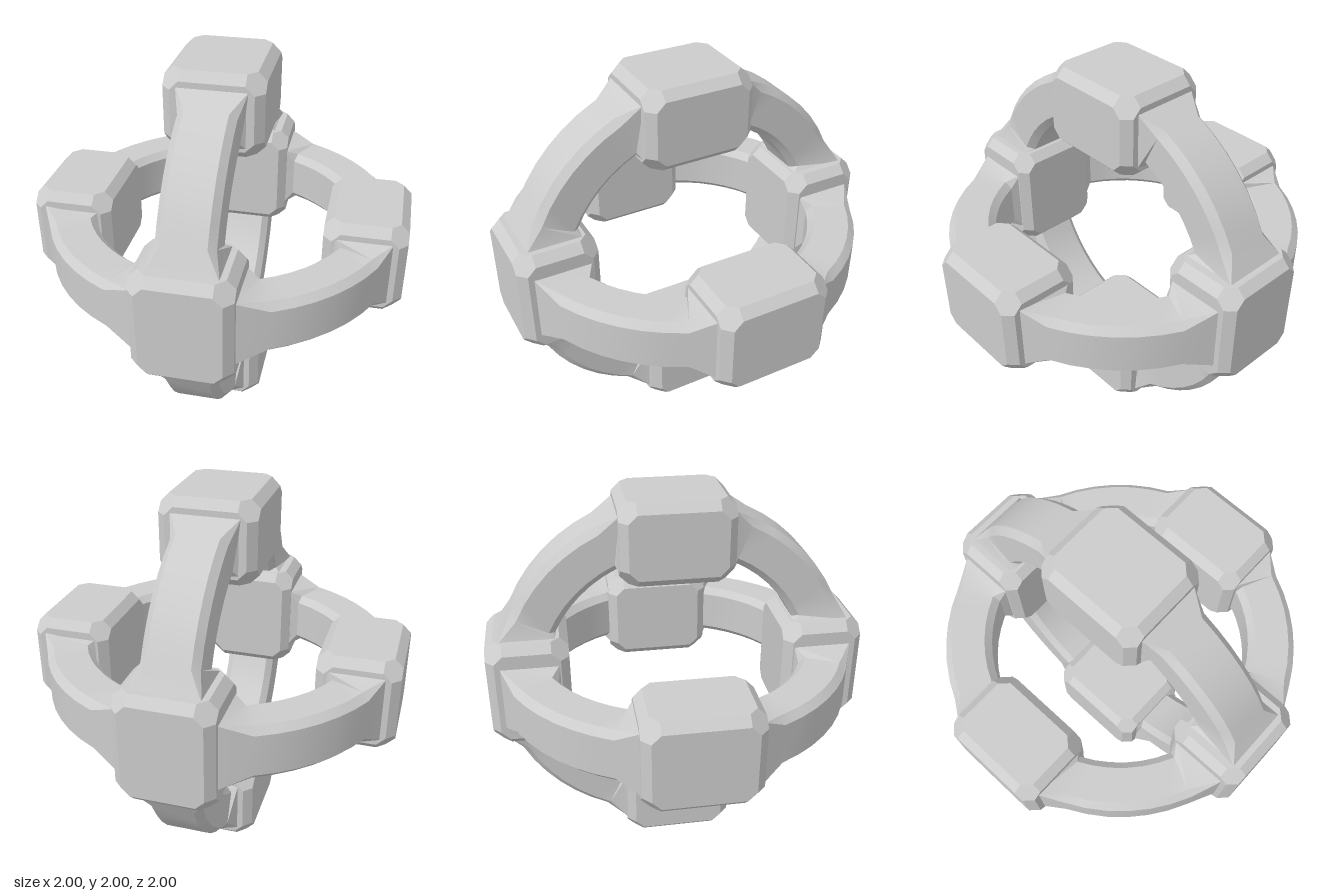
import * as THREE from 'three';
import { toCreasedNormals } from 'three/addons/utils/BufferGeometryUtils.js';
import { ConvexGeometry } from 'three/addons/geometries/ConvexGeometry.js';

const X = new THREE.Vector3(1, 0, 0);
const Y = new THREE.Vector3(0, 1, 0);
const Z = new THREE.Vector3(0, 0, 1);

// Box with bevelled edges (c) and wider cut corners (k)
function bevelledBlock(hx, hy, hz, c = 0.045, k = 0.045) {
  const points = [];
  for (const sx of [-1, 1]) for (const sy of [-1, 1]) for (const sz of [-1, 1]) {
    for (const [a, b, d] of [
      [0, c, c + k], [0, c + k, c], [c, 0, c + k],
      [c + k, 0, c], [c, c + k, 0], [c + k, c, 0],
    ]) points.push(new THREE.Vector3(sx * (hx - a), sy * (hy - b), sz * (hz - d)));
  }
  return new ConvexGeometry(points);
}

// Corners of a chamfered rectangle in (radius, width), counterclockwise
function section(r0, r1, w, c) {
  return [
    [r1, -w + c], [r1, w - c], [r1 - c, w], [r0 + c, w],
    [r0, w - c], [r0, -w + c], [r0 + c, -w], [r1 - c, -w],
  ];
}

// Quarter arc from axis A to axis B whose ends flare out onto the blocks
function arcArm(A, B, faceA, faceB) {
  const W = A.clone().cross(B);
  const place = (u, v, w) => new THREE.Vector3()
    .addScaledVector(A, u).addScaledVector(B, v).addScaledVector(W, w);
  const flare = section(0.62, 0.93, 0.18, 0);
  const octagon = section(0.7, 0.95, 0.145, 0.036);
  const rings = [flare.map(([r, w]) => place(r, faceA, w))];
  const start = 0.44, steps = 6;
  for (let i = 0; i <= steps; i++) {
    const t = start + (Math.PI / 2 - 2 * start) * i / steps;
    rings.push(octagon.map(([r, w]) => place(r * Math.cos(t), r * Math.sin(t), w)));
  }
  rings.push(flare.map(([r, w]) => place(faceB, r, w)));

  const positions = [];
  const triangle = (a, b, c) => {
    const area = b.clone().sub(a).cross(c.clone().sub(a)).length();
    if (area > 1e-7) for (const p of [a, b, c]) positions.push(p.x, p.y, p.z);
  };
  for (let j = 0; j < rings.length - 1; j++) {
    for (let i = 0; i < 8; i++) {
      const n = (i + 1) % 8;
      const a = rings[j][i], b = rings[j + 1][i], c = rings[j + 1][n], d = rings[j][n];
      triangle(a, b, c);
      triangle(a, c, d);
    }
  }
  const geometry = new THREE.BufferGeometry();
  geometry.setAttribute('position', new THREE.Float32BufferAttribute(positions, 3));
  return toCreasedNormals(geometry, 0.4);
}

export function createModel() {
  const model = new THREE.Group();
  model.name = 'linkedRings';
  const grey = new THREE.MeshStandardMaterial({ color: 0xcccccc });
  grey.name = 'light grey';

  const add = (geometry, name) => {
    const mesh = new THREE.Mesh(geometry, grey);
    mesh.name = name;
    model.add(mesh);
    return mesh;
  };

  // Six blocks, one at each end of the three axes
  const centre = 0.785, depth = 0.215, long = 0.295, short = 0.253;
  const blocks = [
    [X, bevelledBlock(depth, short, long), 'leftBlock', 'rightBlock'],
    [Y, bevelledBlock(short, depth, long), 'topBlock', 'bottomBlock'],
    [Z, bevelledBlock(short, long, depth), 'frontBlock', 'backBlock'],
  ];
  for (const [axis, geometry, plusName, minusName] of blocks) {
    add(geometry, plusName).position.copy(axis).multiplyScalar(centre);
    add(geometry, minusName).position.copy(axis).multiplyScalar(-centre);
  }

  // Two crossing rings, each of four arcs from the front and back blocks
  const sink = 0.01;
  for (const sz of [-1, 1]) for (const s of [-1, 1]) {
    const A = Z.clone().multiplyScalar(sz);
    add(arcArm(A, X.clone().multiplyScalar(s), short - sink, long - sink), 'horizontalRingArc');
    add(arcArm(A, Y.clone().multiplyScalar(s), long - sink, long - sink), 'verticalRingArc');
  }

  // Stand the model on the ground
  for (const part of model.children) part.position.y += 1;
  return model;
}
